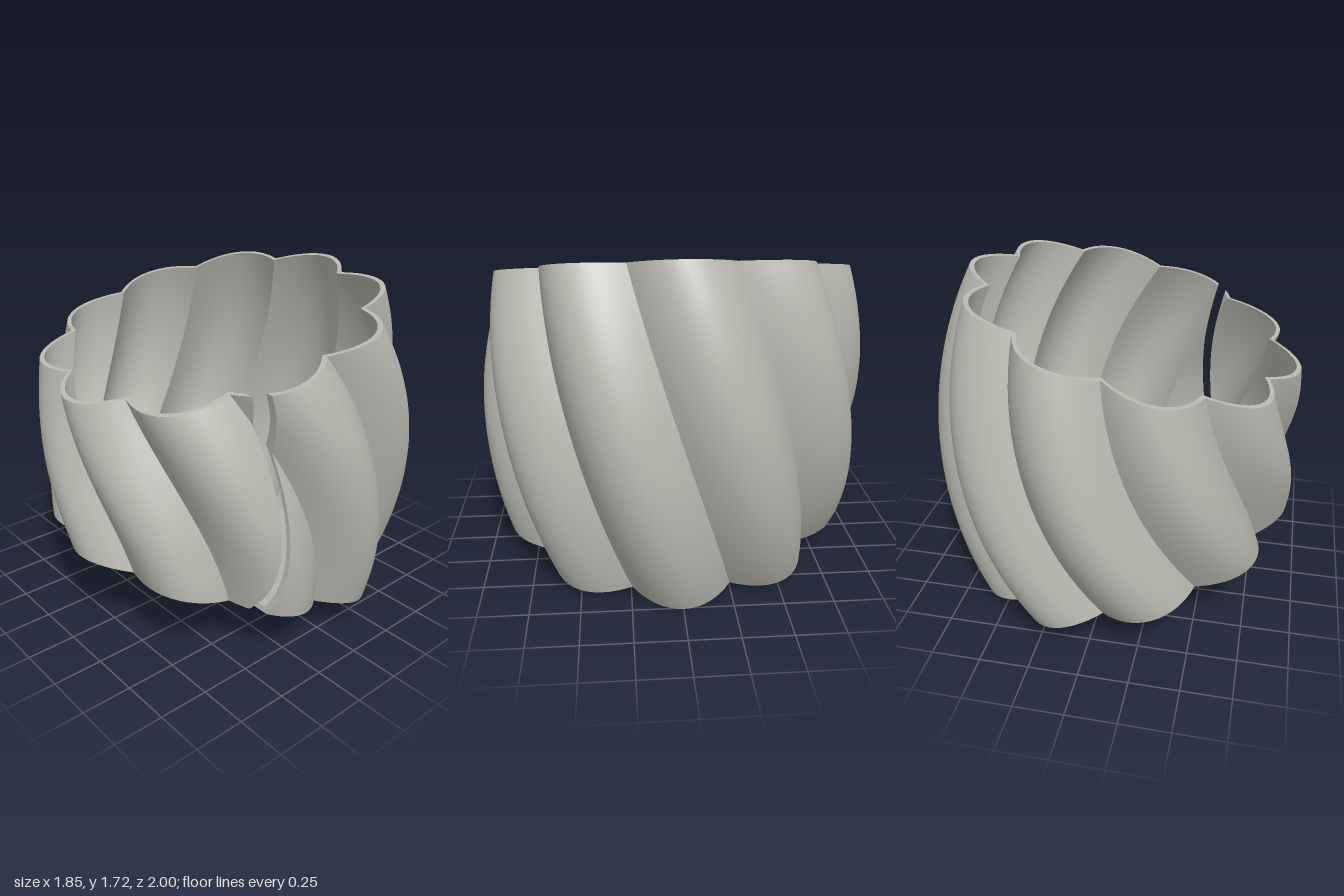
import * as THREE from 'three';
import { toCreasedNormals } from 'three/addons/utils/BufferGeometryUtils.js';

const DEG = Math.PI / 180;
const BEND = 2.45;            // radius of the bend, about an axis along z
const MID_Y = 0.86;
const HALF = 15 * DEG;        // half of the bend angle
const LOBES = 10, STEPS = 16, LEVELS = 32;
const WALL = 0.026;
const FLOOR = -HALF + 0.7 * DEG;
const SLIT = [-0.405, -0.357]; // slit edges, measured across the section

// Lobed cross-section at bend angle a; returns [x, z, a] in the section plane
function section(phi, a, inset) {
  const s = a / HALF;
  const valley = 18 * DEG * s;
  const size = 1 - 0.083 * s * s;
  const lobe = Math.abs(Math.sin((phi - valley) * LOBES / 2));
  const r = size * (0.865 + 0.135 * lobe) - inset;
  return [0.95 * r * Math.cos(phi), r * Math.sin(phi), a];
}

// Ring sample i, aligned so that the sharp valleys fall on samples
function ring(i, a, inset) {
  return section(18 * DEG * a / HALF + i * 2 * Math.PI / (LOBES * STEPS), a, inset);
}

// Bends a section point into place
function bend([x, z, a]) {
  const r = BEND + x;
  return [r * Math.cos(a) - BEND, MID_Y + r * Math.sin(a), z];
}

// Keeps the part of a polygon where sign * (x - edge) >= 0
function clip(poly, edge, sign) {
  const out = [];
  poly.forEach((p, i) => {
    const q = poly[(i + 1) % poly.length];
    const dp = sign * (p[0] - edge), dq = sign * (q[0] - edge);
    if (dp >= 0) out.push(p);
    if (dp * dq < 0) out.push(p.map((v, k) => v + (q[k] - v) * dp / (dp - dq)));
  });
  return out;
}

function addPoly(pos, poly) {
  for (let i = 1; i + 1 < poly.length; i++) {
    for (const p of [poly[0], poly[i], poly[i + 1]]) pos.push(...bend(p));
  }
}

// Adds a polygon with the slit cut out of it
function addSlit(pos, poly) {
  addPoly(pos, clip(poly, SLIT[0], -1));
  addPoly(pos, clip(poly, SLIT[1], 1));
}

// Wall polygons are cut on the front side only
function addWall(pos, poly) {
  if (poly.every(p => p[1] > 0)) addSlit(pos, poly);
  else addPoly(pos, poly);
}

// Point of the outline at a given x, on the front (side 1) or back (side -1)
function outlineAt(x, a, inset, side) {
  let lo = 80 * DEG, hi = 160 * DEG;
  for (let i = 0; i < 40; i++) {
    const m = (lo + hi) / 2;
    if (section(side * m, a, inset)[0] > x) lo = m; else hi = m;
  }
  return section(side * lo, a, inset);
}

export function createModel() {
  const group = new THREE.Group();
  group.name = 'twistedVessel';
  const material = new THREE.MeshStandardMaterial({ color: 0xb8b8b0, side: THREE.DoubleSide });
  material.name = 'warmGrey';

  const addMesh = (name, pos) => {
    const g = new THREE.BufferGeometry();
    g.setAttribute('position', new THREE.Float32BufferAttribute(pos, 3));
    const mesh = new THREE.Mesh(toCreasedNormals(g, 0.5), material);
    mesh.name = name;
    group.add(mesh);
  };

  const count = LOBES * STEPS;
  const level = j => -HALF + 2 * HALF * j / LEVELS;
  const outer = [], inner = [], rims = [], edges = [], floor = [];

  // Outer and inner wall surfaces
  for (let j = 0; j < LEVELS; j++) {
    const a = level(j), b = level(j + 1);
    for (let i = 0; i < count; i++) {
      for (const [pos, inset] of [[outer, 0], [inner, WALL]]) {
        const quad = [ring(i, a, inset), ring(i, b, inset),
          ring(i + 1, b, inset), ring(i + 1, a, inset)];
        addWall(pos, inset ? quad.reverse() : quad);
      }
    }
    // Wall thickness along both sides of the slit
    SLIT.forEach((x, k) => {
      const quad = [outlineAt(x, a, 0, 1), outlineAt(x, a, WALL, 1),
        outlineAt(x, b, WALL, 1), outlineAt(x, b, 0, 1)];
      addPoly(edges, k ? quad.reverse() : quad);
    });
  }

  for (let i = 0; i < count; i++) {
    // Top and bottom rims
    for (const a of [HALF, -HALF]) {
      const quad = [ring(i, a, 0), ring(i, a, WALL), ring(i + 1, a, WALL), ring(i + 1, a, 0)];
      addWall(rims, a > 0 ? quad : quad.reverse());
    }
    // Floor, split in two by the slit
    for (const a of [FLOOR, -HALF]) {
      const tri = [[0, 0, a], ring(i + 1, a, WALL), ring(i, a, WALL)];
      addSlit(floor, a === FLOOR ? tri : tri.reverse());
    }
  }

  // Floor thickness along the slit
  SLIT.forEach((x, k) => {
    const quad = [outlineAt(x, -HALF, WALL, 1), outlineAt(x, -HALF, WALL, -1),
      outlineAt(x, FLOOR, WALL, -1), outlineAt(x, FLOOR, WALL, 1)];
    addPoly(edges, k ? quad.reverse() : quad);
  });

  addMesh('outerWall', outer);
  addMesh('innerWall', inner);
  addMesh('rims', rims);
  addMesh('slitEdges', edges);
  addMesh('floor', floor);
  return group;
}
